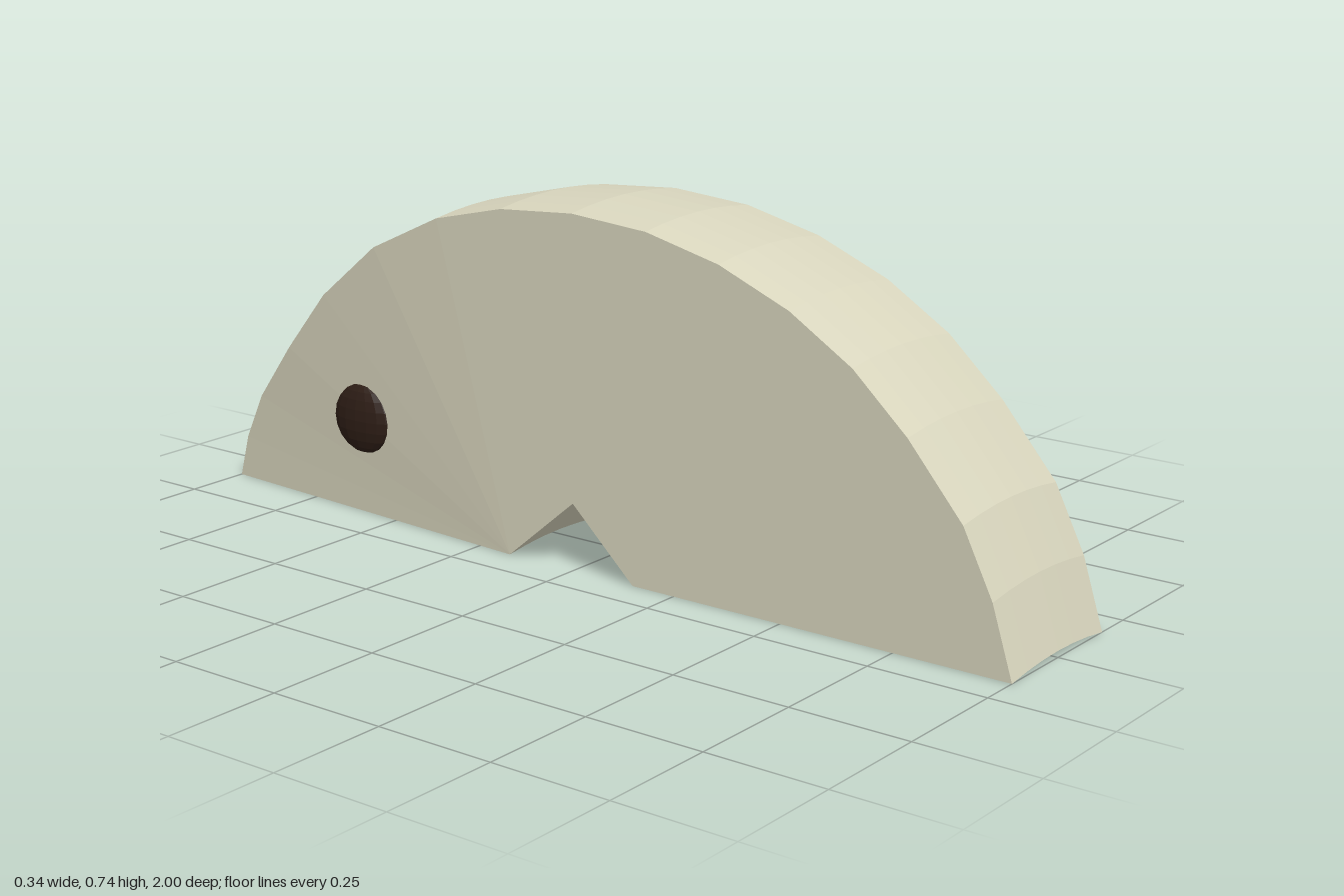
import * as THREE from 'three';

// Outline points: z, edge height y, half width (front tip, over the top, back tip, notch)
const RIM = [
  [1, 0, 0.167], [0.955, 0.142, 0.167], [0.89, 0.272, 0.167], [0.77, 0.412, 0.167],
  [0.65, 0.521, 0.167], [0.51, 0.607, 0.167], [0.35, 0.672, 0.167], [0.18, 0.712, 0.167],
  [0, 0.725, 0.167], [-0.18, 0.712, 0.167], [-0.35, 0.672, 0.167], [-0.53, 0.588, 0.161],
  [-0.69, 0.462, 0.148], [-0.81, 0.327, 0.135], [-0.915, 0.198, 0.12], [-0.97, 0.095, 0.112],
  [-1, 0, 0.107],
];
const NOTCH = [[-0.165, 0, 0.167], [0, 0.14, 0.167], [0.15, 0, 0.167]];
const COLUMNS = 6;
const ARCH = 0.013;

// Point on the body at outline point p, u from -1 (right) to 1 (left)
const at = ([z, y, w], u) => [0.001 + u * w, y + ARCH * (1 - u * u), z];

function bodyGeometry() {
  const loop = [...RIM, ...NOTCH];
  const pos = [];
  const tri = (...points) => points.forEach((p) => pos.push(...p));

  // Curved rim, base and notch: strips across the thickness
  loop.forEach((a, i) => {
    const b = loop[(i + 1) % loop.length];
    for (let j = 0; j < COLUMNS; j++) {
      const u = (2 * j) / COLUMNS - 1, v = (2 * (j + 1)) / COLUMNS - 1;
      tri(at(a, u), at(a, v), at(b, u));
      tri(at(a, v), at(b, v), at(b, u));
    }
  });

  // Side faces: fans from the notch apex (front) and its back corner (back)
  const [corner, apex, frontCorner] = NOTCH;
  const split = 6;
  const side = (c, a, b) => {
    tri(at(c, 1), at(b, 1), at(a, 1));
    tri(at(c, -1), at(a, -1), at(b, -1));
  };
  side(apex, frontCorner, RIM[0]);
  for (let i = 0; i < RIM.length - 1; i++) side(i < split ? apex : corner, RIM[i], RIM[i + 1]);
  side(corner, apex, RIM[split]);

  const geometry = new THREE.BufferGeometry();
  geometry.setAttribute('position', new THREE.Float32BufferAttribute(pos, 3));
  geometry.computeVertexNormals();
  return geometry;
}

export function createModel() {
  const cream = new THREE.MeshStandardMaterial({ color: 0xd8d5bd });
  cream.name = 'cream';
  const darkBrown = new THREE.MeshStandardMaterial({ color: 0x2e1e16 });
  darkBrown.name = 'dark brown';

  const group = new THREE.Group();
  group.name = 'notchedHalfDisc';

  const body = new THREE.Mesh(bodyGeometry(), cream);
  body.name = 'body';
  group.add(body);

  // Flattened button on the right side, near the tapered back
  const ball = new THREE.SphereGeometry(1, 16, 10).toNonIndexed();
  ball.computeVertexNormals();
  const button = new THREE.Mesh(ball, darkBrown);
  button.name = 'sideButton';
  button.scale.set(0.028, 0.075, 0.078);
  button.position.set(-0.143, 0.21, -0.585);
  group.add(button);

  return group;
}
